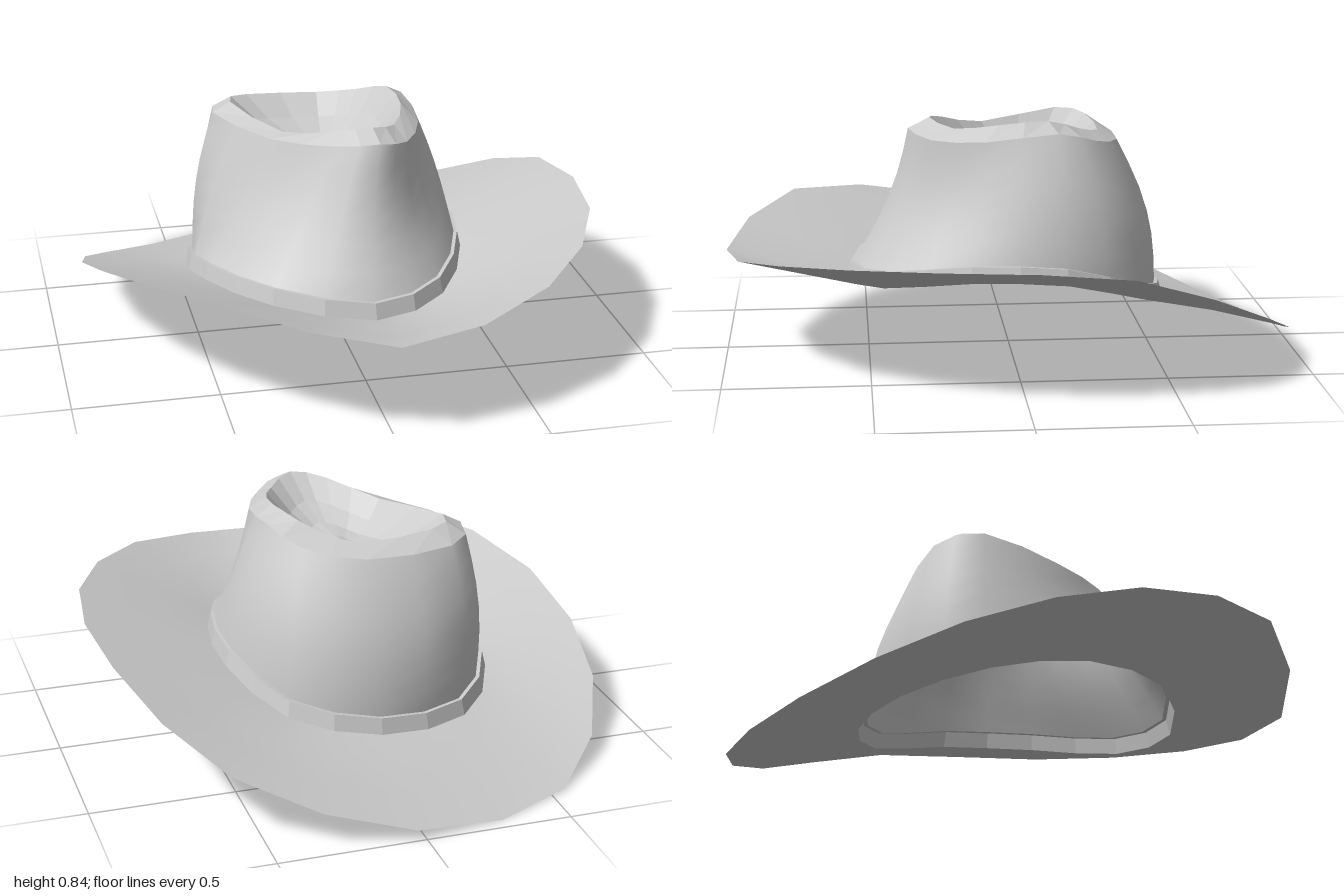
import * as THREE from 'three';

const SIDES = 20;

// Closed outline: ten key points, from the back round by the +x side
function ring(points) {
  const curve = new THREE.CatmullRomCurve3(points.map(p => new THREE.Vector3(...p)), true, 'catmullrom', 0.5);
  return Array.from({ length: SIDES }, (_, i) => curve.getPoint(i / SIDES));
}

// Blend between two rings
const blend = (a, b, t) => a.map((p, i) => p.clone().lerp(b[i], t));

// Shrink a ring about a centre and raise it
const inset = (r, scale, lift) => r.map(p => new THREE.Vector3(p.x * scale - 0.04 * (1 - scale), p.y + lift, p.z * scale));

// Skin a sequence of rings, outermost/lowest first
function loft(name, rings, flatShading) {
  const geo = new THREE.BufferGeometry();
  const index = [];
  for (let r = 0; r < rings.length - 1; r++) {
    for (let i = 0; i < SIDES; i++) {
      const j = (i + 1) % SIDES;
      const a = r * SIDES + i, b = r * SIDES + j;
      const c = a + SIDES, d = b + SIDES;
      index.push(a, c, b, b, c, d);
    }
  }
  geo.setFromPoints(rings.flat());
  geo.setIndex(index);
  geo.computeVertexNormals();
  const mesh = new THREE.Mesh(geo, new THREE.MeshStandardMaterial({
    color: 0xcccccc, side: THREE.DoubleSide, flatShading,
  }));
  mesh.name = name;
  return mesh;
}

export function createModel() {
  const hat = new THREE.Group();
  hat.name = 'hat';

  // Wavy outer edge of the brim
  const edge = ring([
    [0.03, 0.05, -1], [0.595, 0.24, -0.82], [0.865, 0.45, -0.34], [0.855, 0.485, 0.28], [0.54, 0.44, 0.795],
    [0, 0.37, 0.995], [-0.55, 0.47, 0.765], [-0.855, 0.38, 0.22], [-0.86, 0.19, -0.36], [-0.555, 0.02, -0.825],
  ]);
  // Head opening
  const opening = ring([
    [0, 0.175, -0.555], [0.3, 0.235, -0.45], [0.44, 0.325, -0.17], [0.42, 0.335, 0.16], [0.28, 0.29, 0.45],
    [0.02, 0.27, 0.575], [-0.31, 0.3, 0.45], [-0.49, 0.28, 0.14], [-0.51, 0.21, -0.2], [-0.33, 0.16, -0.465],
  ]);
  // Outer and inner edges of the crown's top rim
  const rimOuter = ring([
    [0, 0.745, -0.385], [0.2, 0.775, -0.29], [0.275, 0.815, -0.15], [0.275, 0.79, 0.1], [0.19, 0.785, 0.28],
    [0.08, 0.81, 0.355], [-0.06, 0.79, 0.29], [-0.25, 0.765, 0.1], [-0.4, 0.77, -0.2], [-0.31, 0.75, -0.36],
  ]);
  const rimInner = ring([
    [0, 0.78, -0.315], [0.13, 0.81, -0.23], [0.215, 0.85, -0.12], [0.225, 0.84, 0.05], [0.165, 0.82, 0.2],
    [0.07, 0.845, 0.28], [-0.05, 0.825, 0.23], [-0.2, 0.78, 0.08], [-0.335, 0.805, -0.2], [-0.26, 0.795, -0.3],
  ]);

  // Brim
  hat.add(loft('brim', [0, 1 / 3, 2 / 3, 1].map(t => blend(edge, opening, t)), false));

  // Band with a small step at the foot of the crown
  const bandTop = inset(opening, 0.975, 0.055);
  const crownFoot = inset(opening, 0.95, 0.055);
  hat.add(loft('hatBand', [opening, bandTop, crownFoot], true));

  // Crown wall: rounded at the back, pinched on the front flanks
  const wall = [];
  for (let k = 0; k <= 6; k++) {
    const t = k / 6;
    wall.push(blend(crownFoot, rimOuter, t).map(p => {
      const n = new THREE.Vector3(p.x + 0.04, 0, p.z).normalize();
      const bulge = 0.01 - 0.03 * n.z - 0.05 * Math.max(0, n.z) * Math.abs(n.x);
      return p.addScaledVector(n, bulge * Math.sin(Math.PI * t));
    }));
  }
  hat.add(loft('crownWall', wall, false));

  // Bevelled top rim
  hat.add(loft('crownRim', [rimOuter, rimInner], true));

  // Sunken crease in the top
  const sunk = [[0.72, 0.735], [0.45, 0.69], [0.2, 0.675], [0, 0.675]].map(([s, y]) =>
    rimInner.map(p => new THREE.Vector3(-0.03 + (p.x + 0.03) * s, y + (p.y - 0.81) * s, -0.03 + (p.z + 0.03) * s)));
  hat.add(loft('crownHollow', [rimInner, ...sunk], true));

  return hat;
}
